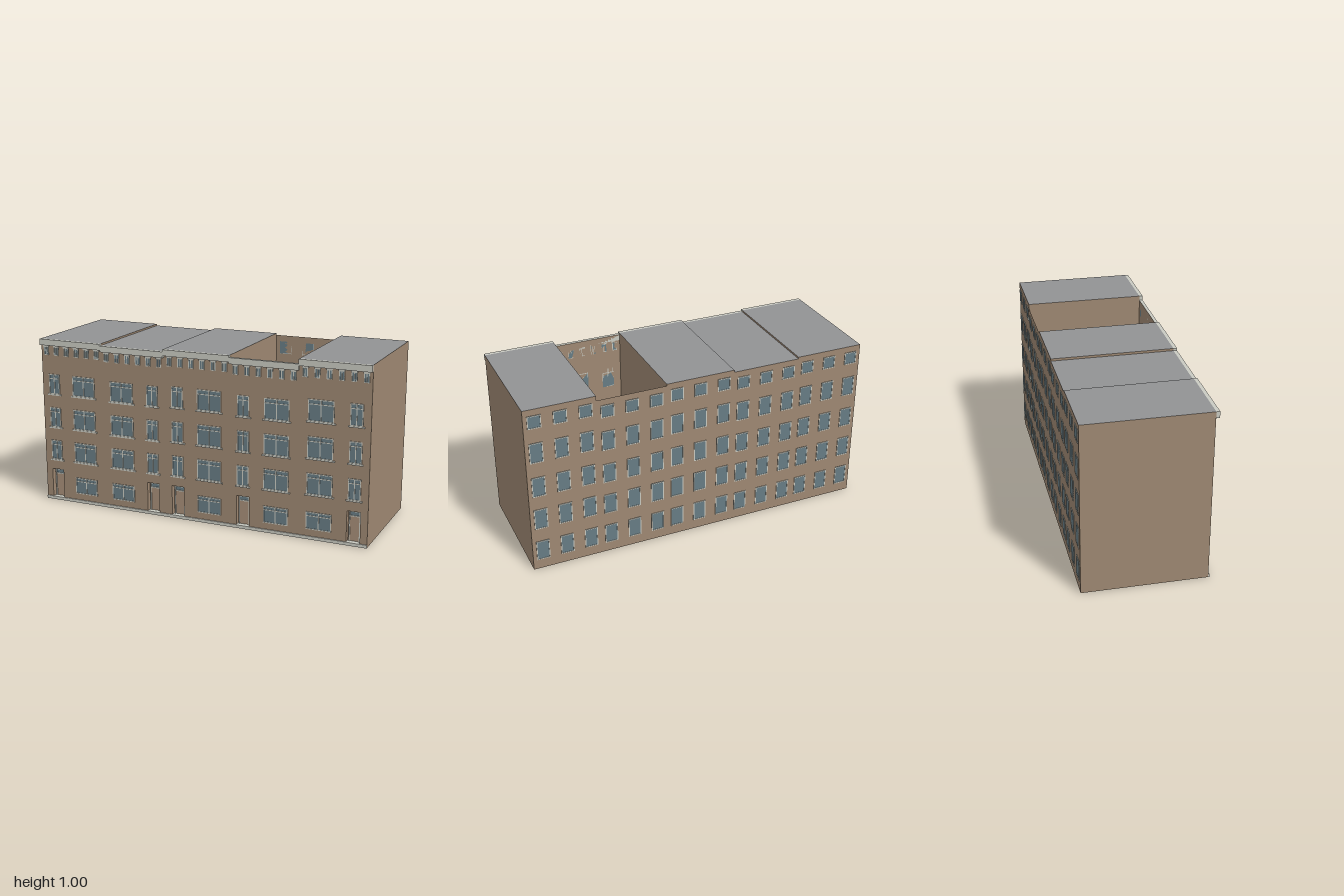
import * as THREE from 'three';

const FRONT = 0.337, BACK = -0.353, UNIT = 0.4, RECESS = 0.03;

export function createModel() {
  const mat = (name, color, side = THREE.FrontSide) => {
    const m = new THREE.MeshStandardMaterial({ color, side });
    m.name = name;
    return m;
  };
  const brick = mat('brick', 0x9e8872, THREE.DoubleSide);
  const roofing = mat('roofing', 0x919294, THREE.DoubleSide);
  const trim = mat('trim', 0xc9cac1);
  const glass = mat('glass', 0x677c84);
  const doorWood = mat('doorWood', 0xa68e78);

  const group = (parent, name) => {
    const g = new THREE.Group();
    g.name = name;
    parent.add(g);
    return g;
  };
  // box given by its limits
  const box = (parent, name, m, x0, x1, y0, y1, z0, z1) => {
    const mesh = new THREE.Mesh(new THREE.BoxGeometry(x1 - x0, y1 - y0, z1 - z0), m);
    mesh.position.set((x0 + x1) / 2, (y0 + y1) / 2, (z0 + z1) / 2);
    mesh.name = name;
    parent.add(mesh);
    return mesh;
  };
  // flat panel, turned about x or y
  const panel = (parent, name, m, w, h, pos, rx = 0, ry = 0) => {
    const mesh = new THREE.Mesh(new THREE.PlaneGeometry(w, h), m);
    mesh.position.set(...pos);
    mesh.rotation.set(rx, ry, 0);
    mesh.name = name;
    parent.add(mesh);
    return mesh;
  };

  // framed window standing out from the plane z = 0
  const addWindow = (parent, name, x, y0, y1, w, o = {}) => {
    const { f = 0.005, depth = 0.005, mullion = false, transom = 0, sill = false } = o;
    const g = group(parent, name);
    const a = x - w / 2, b = x + w / 2;
    box(g, 'pane', glass, a, b, y0, y1, 0, 0.002);
    box(g, 'frameSide', trim, a, a + f, y0, y1, 0, depth);
    box(g, 'frameSide', trim, b - f, b, y0, y1, 0, depth);
    box(g, 'frameTop', trim, a, b, y1 - f, y1, 0, depth);
    box(g, 'frameBottom', trim, a, b, y0, y0 + f, 0, depth);
    if (mullion) box(g, 'mullion', trim, x - f / 2, x + f / 2, y0, y1, 0, depth);
    if (transom) {
      const t = y0 + (y1 - y0) * transom;
      box(g, 'transom', trim, a, b, t - f / 2, t + f / 2, 0, depth);
    }
    if (sill) box(g, 'sill', trim, a - 0.01, b + 0.01, y0 - 0.008, y0, 0, 0.007);
    return g;
  };

  // front wall with a door opening
  const addFrontWall = (parent, cx, h, doorX, doorW, doorY0, doorY1) => {
    const rect = (s, x0, x1, y0, y1) =>
      s.moveTo(x0, y0).lineTo(x1, y0).lineTo(x1, y1).lineTo(x0, y1).closePath();
    const shape = rect(new THREE.Shape(), cx - UNIT / 2, cx + UNIT / 2, 0, h);
    shape.holes.push(rect(new THREE.Path(), doorX - doorW / 2, doorX + doorW / 2, doorY0, doorY1));
    const wall = new THREE.Mesh(new THREE.ShapeGeometry(shape), brick);
    wall.position.z = FRONT;
    wall.name = 'frontWall';
    parent.add(wall);
  };

  // recessed door with a glazed light over it
  const addDoor = (parent, x, w, y0, y1) => {
    const g = group(parent, 'door');
    const back = FRONT - RECESS, h = y1 - y0, my = (y0 + y1) / 2, mz = FRONT - RECESS / 2;
    panel(g, 'recessBack', brick, w, h, [x, my, back]);
    for (const s of [-1, 1])
      panel(g, 'recessSide', brick, RECESS, h, [x + s * w / 2, my, mz], 0, -s * Math.PI / 2);
    panel(g, 'recessTop', brick, w, RECESS, [x, y1, mz], Math.PI / 2);
    box(g, 'doorstep', trim, x - w / 2, x + w / 2, y0 - 0.005, y0, back, FRONT);
    const a = x - w / 2 + 0.006, b = x + w / 2 - 0.006, f = 0.006, top = y1 - 0.006;
    const bar = y0 + h * 0.81;
    box(g, 'doorLeaf', doorWood, a, b, y0, bar, back, back + 0.004);
    box(g, 'overlight', glass, a, b, bar, top, back, back + 0.004);
    box(g, 'doorFrame', trim, a, a + f, y0, top, back, back + 0.009);
    box(g, 'doorFrame', trim, b - f, b, y0, top, back, back + 0.009);
    box(g, 'doorFrame', trim, a, b, top - 0.004, top, back, back + 0.009);
    box(g, 'doorFrame', trim, a, b, bar - f / 2, bar + f / 2, back, back + 0.009);
  };

  const model = new THREE.Group();
  model.name = 'terraceRow';
  const depth = FRONT - BACK, midZ = (FRONT + BACK) / 2;

  // houses from -x to +x: height, side of the door, roofed or open
  const houses = [
    { h: 0.98, door: -1, roof: true },
    { h: 0.97, door: 1, roof: true },
    { h: 0.983, door: -1, roof: true },
    { h: 0.973, door: -1, roof: false },
    { h: 1.0, door: 1, roof: true },
  ];
  const frontRows = [[0.258, 0.378], [0.462, 0.583], [0.667, 0.788]];
  const backRows = [[0.06, 0.18], [0.263, 0.387], [0.47, 0.59], [0.68, 0.80], [0.887, 0.963]];

  houses.forEach(({ h, door, roof }, i) => {
    const house = group(model, 'house' + (i + 1));
    const cx = -0.8 + i * UNIT, x0 = cx - UNIT / 2, x1 = cx + UNIT / 2;
    const doorX = cx + door * 0.121, wideX = cx - door * 0.075;

    // shell
    addFrontWall(house, cx, h, doorX, 0.076, 0.018, 0.195 * h);
    addDoor(house, doorX, 0.076, 0.018, 0.195 * h);
    panel(house, 'backWall', brick, UNIT, h, [cx, h / 2, BACK], 0, Math.PI);
    panel(house, 'floor', brick, UNIT, depth, [cx, 0, midZ], Math.PI / 2);
    if (roof) panel(house, 'roof', roofing, UNIT, depth, [cx, h, midZ], -Math.PI / 2);
    box(house, 'plinth', trim, x0, x1, 0, 0.018, FRONT, FRONT + 0.006);
    box(house, 'cornice', trim, x0, x1, 0.964 * h, h, FRONT, FRONT + 0.02);

    // street windows
    const front = group(house, 'frontWindows');
    front.position.z = FRONT;
    for (const [a, b] of frontRows) {
      addWindow(front, 'wideWindow', wideX, a * h, b * h, 0.145, { mullion: true, transom: 0.78, sill: true });
      addWindow(front, 'narrowWindow', doorX, a * h, b * h, 0.07, { mullion: true, transom: 0.78, sill: true });
    }
    addWindow(front, 'groundWindow', wideX, 0.058 * h, 0.158 * h, 0.145, { mullion: true, transom: 0.78 });

    // attic windows under the cornice
    for (let k = 0; k < 6; k++) {
      const x = cx + (k - 2.5) * 0.067;
      addWindow(front, 'atticWindow', x, 0.903 * h, 0.955 * h, 0.03, { f: 0.004, mullion: true });
      box(front, 'atticLintel', trim, x - 0.018, x + 0.018, 0.953 * h, 0.963 * h, 0, 0.007);
    }

    // rear windows
    const rear = group(house, 'rearWindows');
    rear.position.set(cx, 0, BACK);
    rear.rotation.y = Math.PI;
    for (const [a, b] of backRows)
      for (const x of [-0.14, 0, 0.14])
        addWindow(rear, 'rearWindow', x, a * h, b * h, 0.075, { depth: 0.004 });
  });

  // end walls and party walls, each as high as its taller neighbour
  for (let i = 0; i <= houses.length; i++) {
    const h = Math.max(houses[i - 1]?.h ?? 0, houses[i]?.h ?? 0);
    panel(model, 'crossWall', brick, depth, h, [-1 + i * UNIT, h / 2, midZ], 0, i ? Math.PI / 2 : -Math.PI / 2);
  }
  return model;
}
